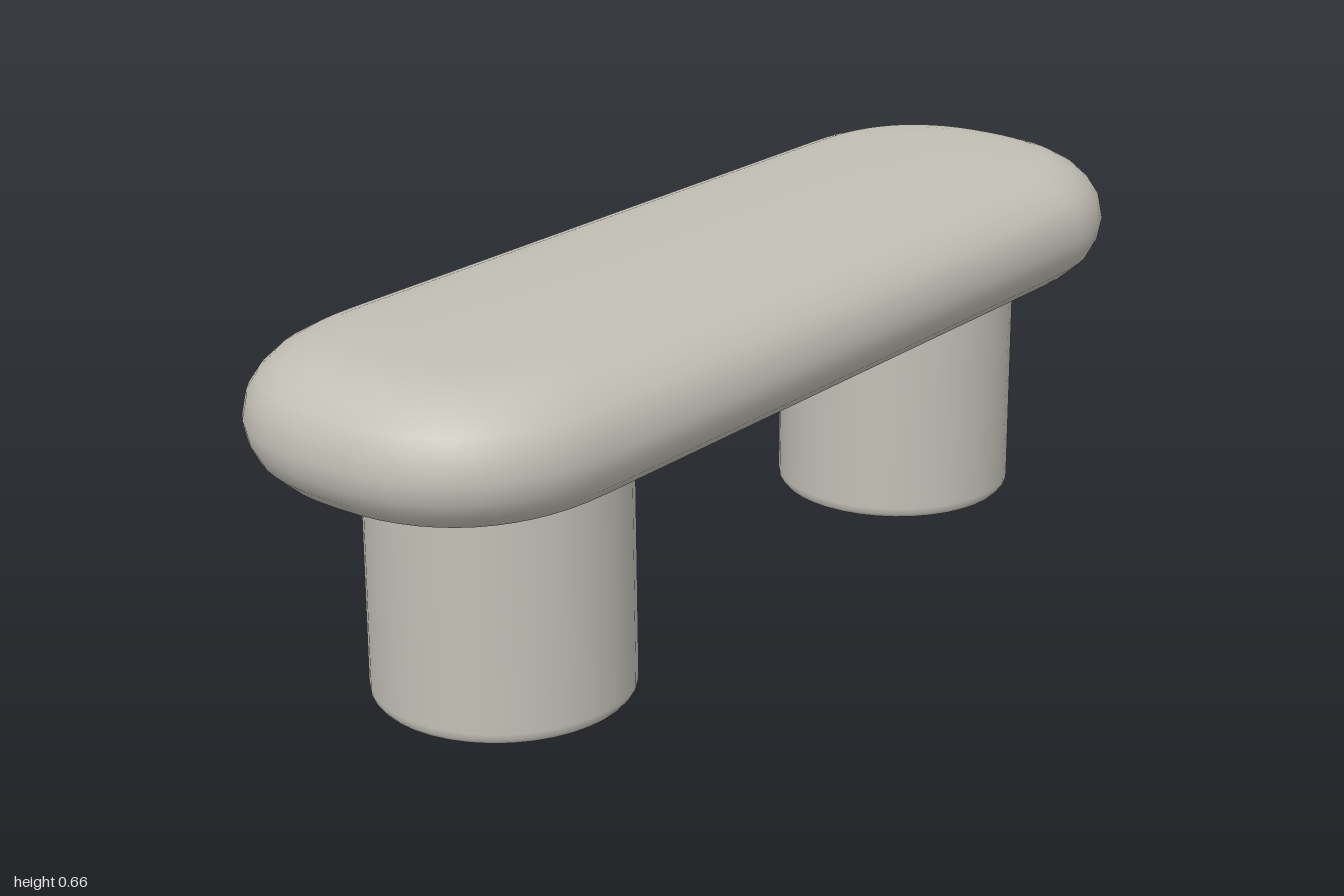
import * as THREE from 'three';

const stone = new THREE.MeshStandardMaterial({ color: 0xc2bfb6 });
stone.name = 'warm grey stone';

// Plan outline of the seat, pulled in by an inset: a straight middle with rounded ends
function outline(inset, steps = 14) {
  const pts = [], half = 0.65, a = 0.35 - inset, b = 0.335 - inset, p = 2 / 2.4;
  for (const end of [1, -1]) {
    for (let i = 0; i <= 2 * steps; i++) {
      const t = (i / steps - 1) * Math.PI / 2;
      const c = Math.max(0, Math.cos(t)), s = Math.sin(t);
      pts.push([end * (half + a * c ** p), end * b * Math.sign(s) * Math.abs(s) ** p]);
    }
  }
  return pts;
}

// Seat: stacked outlines following the pillowy edge profile [inset, y]
function seatGeometry() {
  const profile = [
    [0.14, 0.444], [0.075, 0.443], [0.045, 0.449], [0.02, 0.473], [0.006, 0.502],
    [0, 0.535], [0.008, 0.575], [0.025, 0.602], [0.05, 0.626], [0.08, 0.643],
    [0.11, 0.653], [0.15, 0.659], [0.19, 0.661], [0.26, 0.662],
  ];
  const pos = [], idx = [];
  for (const [inset, y] of profile)
    for (const [x, z] of outline(inset)) pos.push(x, y, z);
  const n = outline(0).length, rows = profile.length;
  for (let r = 0; r < rows - 1; r++) {
    for (let j = 0; j < n; j++) {
      const a = r * n + j, b = r * n + (j + 1) % n;
      idx.push(a, a + n, b, b, a + n, b + n);
    }
  }
  // Flat underside and top
  const low = pos.length / 3, high = low + 1, last = (rows - 1) * n;
  pos.push(0, 0.444, 0, 0, 0.662, 0);
  for (let j = 0; j < n; j++) {
    const k = (j + 1) % n;
    idx.push(low, j, k, high, last + k, last + j);
  }
  const g = new THREE.BufferGeometry();
  g.setAttribute('position', new THREE.Float32BufferAttribute(pos, 3));
  g.setIndex(idx);
  g.computeVertexNormals();
  return g;
}

// Leg: round column with a softened foot
function legGeometry(foot) {
  const r = 0.2275;
  const pts = [
    [0, 0], [r - 0.03, 0], [r - 0.02, 0.001], [r - 0.007, 0.006],
    [r - 0.001, 0.014], [r, 0.025], [r - 0.002, 0.46 - foot],
  ].map(([x, y]) => new THREE.Vector2(x, y + foot));
  return new THREE.LatheGeometry(pts, 40);
}

export function createModel() {
  const model = new THREE.Group();
  model.name = 'bench';

  const add = (name, geometry, x = 0) => {
    const mesh = new THREE.Mesh(geometry, stone);
    mesh.name = name;
    mesh.position.x = x;
    model.add(mesh);
  };

  add('seat', seatGeometry());
  add('leftLeg', legGeometry(0.007), 0.578);
  add('rightLeg', legGeometry(0), -0.587);
  return model;
}
